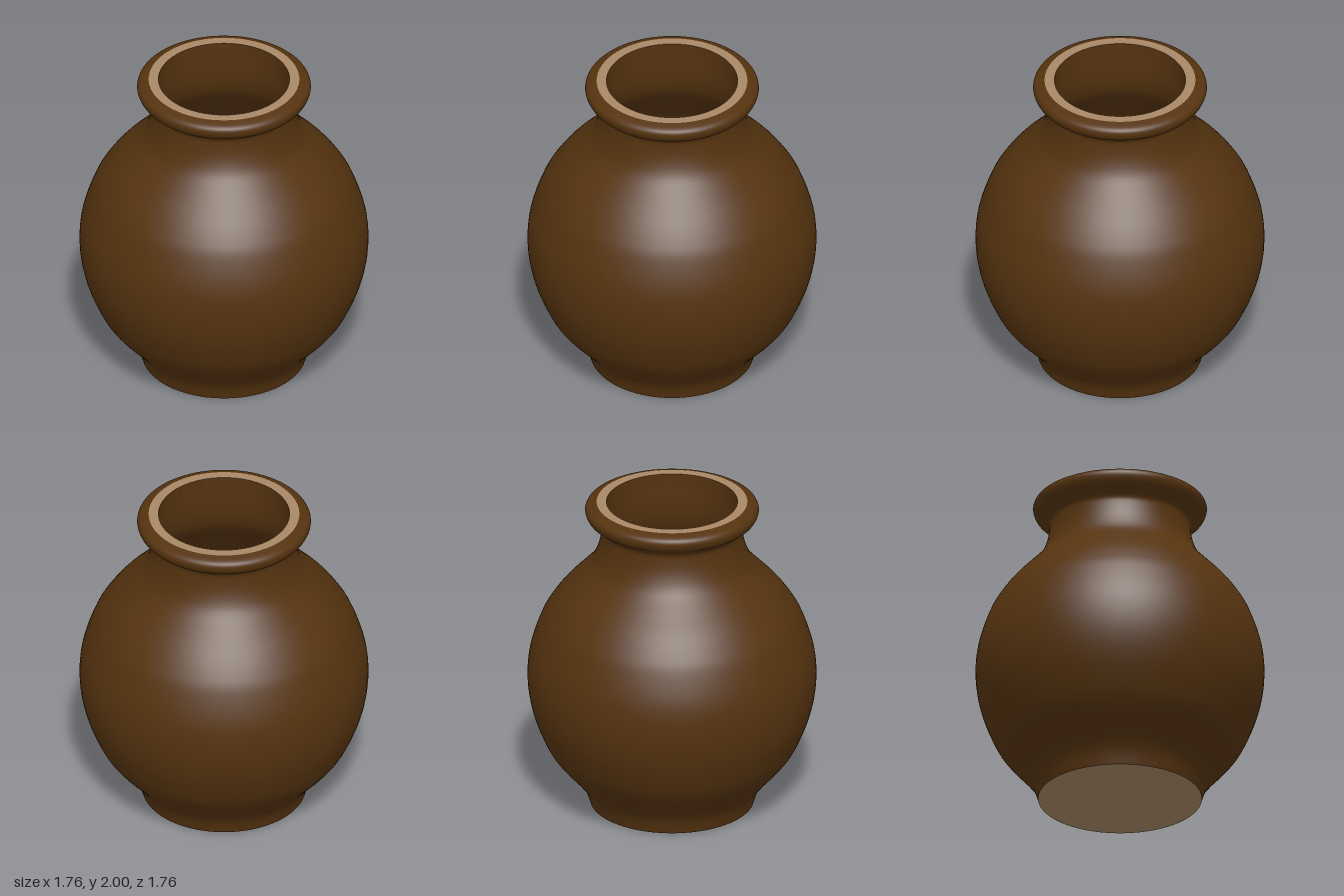
import * as THREE from 'three';

const SEGMENTS = 96;
const glaze = new THREE.MeshStandardMaterial({ color: 0x55330f });
glaze.name = 'brown glaze';
const clay = new THREE.MeshStandardMaterial({ color: 0xa98968 });
clay.name = 'bare clay';

// Smooth curve through [radius, height] points
function smooth(points, divisions) {
  const curve = new THREE.SplineCurve(points.map(([r, y]) => new THREE.Vector2(r, y)));
  return curve.getPoints(divisions);
}

// Profiles run up the outside, inwards over the rim and down the inside
function turned(name, profile, material) {
  const mesh = new THREE.Mesh(new THREE.LatheGeometry(profile, SEGMENTS), material);
  mesh.name = name;
  return mesh;
}

const flat = (r1, r2, y) => [new THREE.Vector2(r1, y), new THREE.Vector2(r2, y)];

export function createModel() {
  const group = new THREE.Group();
  group.name = 'vase';

  // Round body, narrow neck and rolled lip
  const outer = smooth([
    [0.5, 0], [0.535, 0.1], [0.61, 0.2], [0.69, 0.29], [0.765, 0.4], [0.845, 0.6],
    [0.88, 0.8], [0.868, 1.0], [0.805, 1.2], [0.745, 1.31], [0.67, 1.41], [0.585, 1.5],
    [0.495, 1.6], [0.45, 1.7], [0.432, 1.8], [0.437, 1.84], [0.465, 1.868],
    [0.51, 1.9], [0.53, 1.945], [0.515, 1.98], [0.46, 2.0],
  ], 100);
  group.add(turned('outerWall', outer, glaze));

  // Hollow inside
  const inner = smooth([
    [0.4, 2.0], [0.4, 1.9], [0.4, 1.8], [0.415, 1.7], [0.455, 1.6], [0.55, 1.48],
    [0.69, 1.31], [0.765, 1.2], [0.828, 1.0], [0.84, 0.8], [0.805, 0.6],
    [0.72, 0.4], [0.56, 0.2], [0.45, 0.05],
  ], 70);
  group.add(turned('innerWall', inner, glaze));

  // Unglazed rim, floor and underside
  group.add(turned('rim', flat(0.46, 0.4, 2.0), clay));
  group.add(turned('floor', flat(0.45, 0, 0.05), clay));
  group.add(turned('underside', flat(0, 0.5, 0), clay));

  return group;
}
